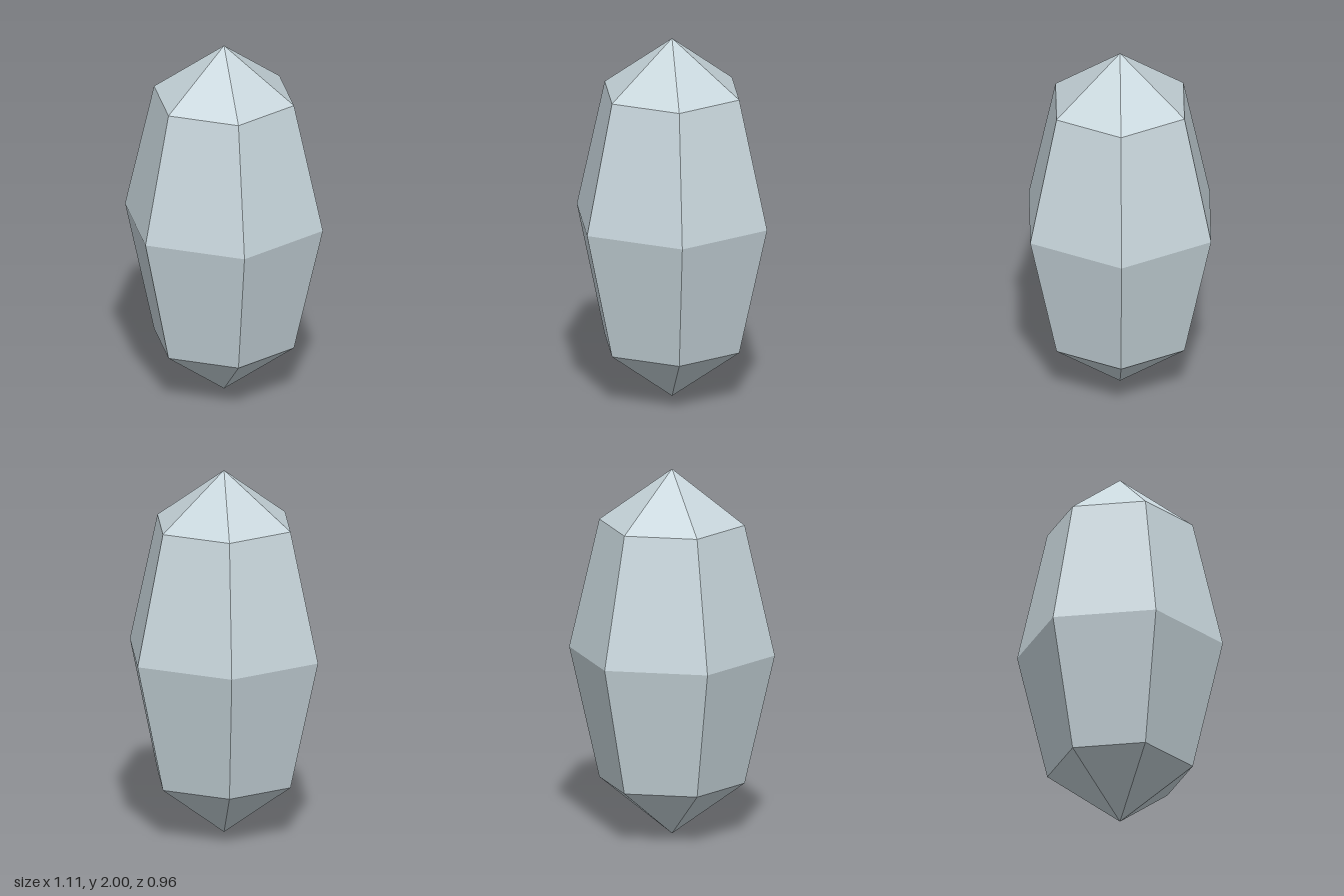
import * as THREE from 'three';

// Faceted six-sided crystal: a coarse sphere stretched along y
export function createModel() {
  const group = new THREE.Group();
  group.name = 'crystal';

  const paleBlueGrey = new THREE.MeshStandardMaterial({ color: 0xc8d6dc, flatShading: true });
  paleBlueGrey.name = 'paleBlueGrey';

  const radius = 0.555, halfHeight = 1;
  const facets = new THREE.SphereGeometry(1, 6, 4)
    .scale(radius, halfHeight, radius)
    .translate(0, halfHeight, 0)
    .toNonIndexed();
  facets.computeVertexNormals(); // one flat normal per facet

  const gem = new THREE.Mesh(facets, paleBlueGrey);
  gem.name = 'crystalBody';
  group.add(gem);
  return group;
}
